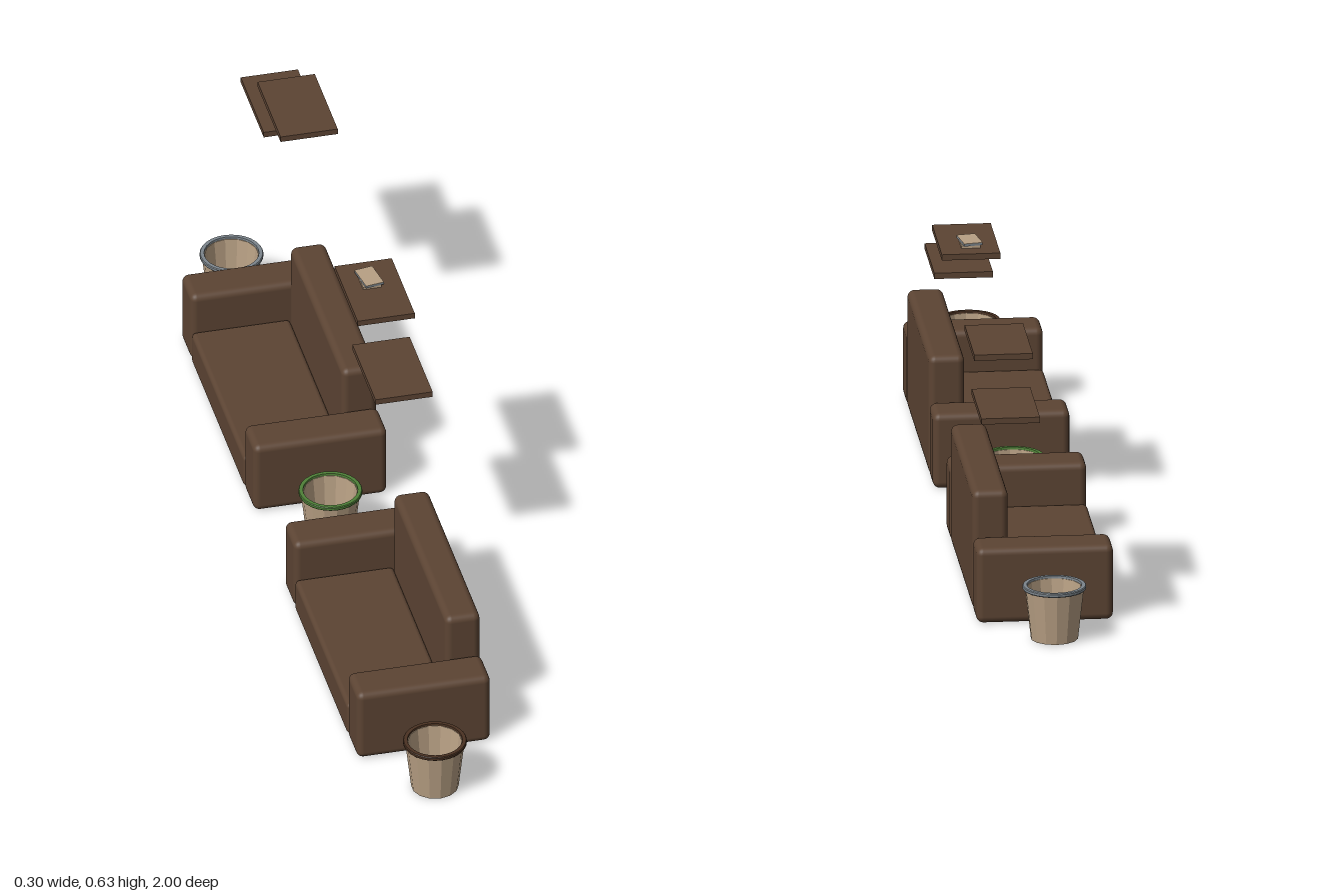
import * as THREE from 'three';
import { RoundedBoxGeometry } from 'three/addons/geometries/RoundedBoxGeometry.js';

const mat = (color, opts = {}) => {
  const m = new THREE.MeshStandardMaterial({ color, ...opts });
  return m;
};
const brown = mat(0x5c4433);
const tan = mat(0xb8a084);
const tanFlat = mat(0xb8a084, { flatShading: true, side: THREE.DoubleSide });
const slate = mat(0x7c858c);

function add(parent, name, geometry, material, x = 0, y = 0, z = 0) {
  const mesh = new THREE.Mesh(geometry, material);
  mesh.name = name;
  mesh.position.set(x, y, z);
  parent.add(mesh);
  return mesh;
}

// Box given by its min and max corners, optionally rounded
function block(parent, name, material, [x0, y0, z0], [x1, y1, z1], radius = 0) {
  const s = [x1 - x0, y1 - y0, z1 - z0];
  const geometry = radius ? new RoundedBoxGeometry(...s, 3, radius) : new THREE.BoxGeometry(...s);
  return add(parent, name, geometry, material, (x0 + x1) / 2, (y0 + y1) / 2, (z0 + z1) / 2);
}

// Sofa facing -x, centred on its own z
function sofa(z) {
  const g = new THREE.Group();
  g.name = 'sofa';
  const inner = 0.241, outer = 0.335, r = 0.015;
  block(g, 'seat', brown, [-0.152, 0.002, -inner], [0.065, 0.08, inner], 0.01);
  block(g, 'backrest', brown, [0.065, 0.002, -inner], [0.142, 0.27, inner], r);
  block(g, 'leftArm', brown, [-0.152, 0.002, inner], [0.142, 0.17, outer], r);
  block(g, 'rightArm', brown, [-0.152, 0.002, -outer], [0.142, 0.17, -inner], r);
  g.position.z = z;
  return g;
}

// Tapered open bin with a coloured rim
function bin(z, rimColor) {
  const g = new THREE.Group();
  g.name = 'bin';
  const wall = [[0, 0.003], [0.051, 0.003], [0.064, 0.118], [0.058, 0.118], [0.046, 0.01], [0, 0.01]];
  const ring = [[0.058, 0.114], [0.067, 0.114], [0.0685, 0.116], [0.0685, 0.121],
    [0.067, 0.123], [0.059, 0.123], [0.058, 0.114]];
  const lathe = (pts, n) => new THREE.LatheGeometry(pts.map(p => new THREE.Vector2(...p)), n);
  add(g, 'binBody', lathe(wall, 14), tanFlat);
  add(g, 'binRim', lathe(ring, 28), mat(rimColor, { flatShading: true, side: THREE.DoubleSide }));
  g.position.set(-0.0135, 0, z);
  return g;
}

export function createModel() {
  const model = new THREE.Group();
  model.name = 'loungeSet';

  // Two sofas in a row
  for (const z of [0.466, -0.478]) model.add(sofa(z));

  // Bins at the ends and between the sofas
  for (const [z, color] of [[0.932, 0x4a3222], [-0.022, 0x4f8038], [-0.925, 0x7c858c]]) {
    model.add(bin(z, color));
  }

  // Floating wall shelves, in staggered pairs
  for (const [y, z] of [[0.512, 0.02], [0.606, -0.143], [0.606, -0.846], [0.512, -1]]) {
    block(model, 'shelf', brown, [0.025, y, z], [0.151, y + 0.013, z + 0.21]);
  }

  // Two small stacked books, the upper one turned a little
  const books = new THREE.Group();
  books.name = 'books';
  books.position.set(0.0845, 0.619, -0.074);
  add(books, 'lowerBook', new THREE.BoxGeometry(0.041, 0.006, 0.06), tan, 0, 0.003, 0);
  const upper = new THREE.Group();
  upper.name = 'upperBook';
  upper.rotation.y = 0.16;
  add(upper, 'bookPages', new THREE.BoxGeometry(0.041, 0.005, 0.065), slate, 0, 0.0085, 0);
  add(upper, 'bookCover', new THREE.BoxGeometry(0.041, 0.001, 0.065), tan, 0, 0.0115, 0);
  books.add(upper);
  model.add(books);

  return model;
}
